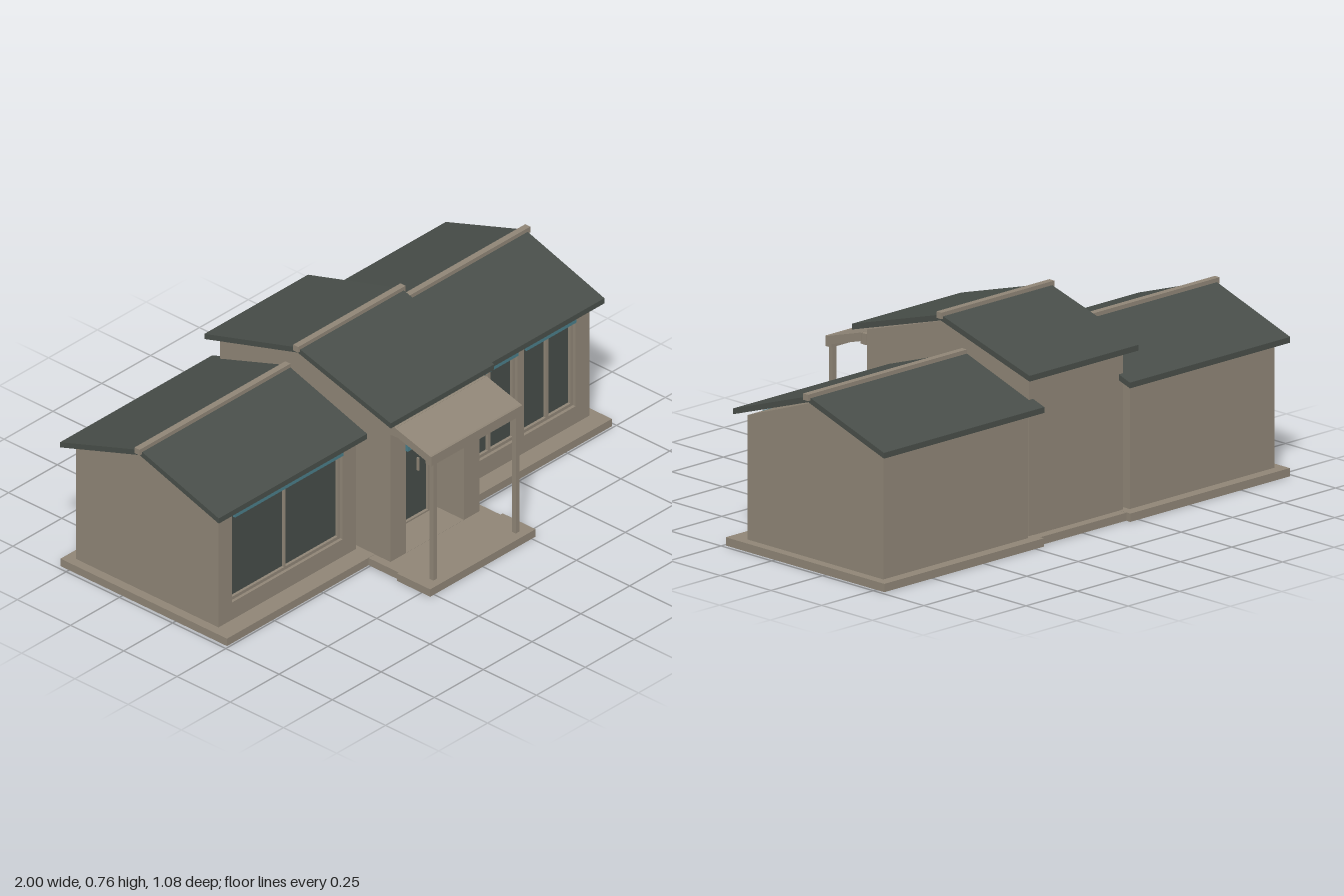
import * as THREE from 'three';

const mat = (name, color, side = THREE.FrontSide) => {
  const m = new THREE.MeshStandardMaterial({ color, side });
  m.name = name;
  return m;
};

export function createModel() {
  const stone = mat('warm stone', 0x8f8576);
  const roofing = mat('dark roofing', 0x484e49);
  const glass = mat('dark glass', 0x454c48);
  const blue = mat('blue awning', 0x4a7d89);

  const model = new THREE.Group();
  model.name = 'house';

  const add = (parent, name, geometry, material) => {
    const mesh = new THREE.Mesh(geometry, material);
    mesh.name = name;
    parent.add(mesh);
    return mesh;
  };
  // Box given by its limits on each axis
  const box = (parent, name, material, [x0, x1], [y0, y1], [z0, z1]) =>
    add(parent, name, new THREE.BoxGeometry(x1 - x0, y1 - y0, z1 - z0)
      .translate((x0 + x1) / 2, (y0 + y1) / 2, (z0 + z1) / 2), material);
  // Side profile of [z, y] points, extruded across x
  const profile = (parent, name, material, points, [x0, x1]) => {
    const shape = new THREE.Shape(points.map(([z, y]) => new THREE.Vector2(z, y)));
    const g = new THREE.ExtrudeGeometry(shape, { depth: x1 - x0, bevelEnabled: false });
    return add(parent, name, g.rotateY(-Math.PI / 2).translate(x1, 0, 0), material);
  };
  // Upright wall with rectangular openings [x0, x1, y0, y1]
  const wallWithOpenings = (parent, name, [x0, x1], [y0, y1], [z0, z1], openings) => {
    const rect = (T, a, b, c, d) => new T([[a, c], [b, c], [b, d], [a, d]]
      .map(([x, y]) => new THREE.Vector2(x, y)));
    const shape = rect(THREE.Shape, x0, x1, y0, y1);
    openings.forEach(o => shape.holes.push(rect(THREE.Path, ...o)));
    const g = new THREE.ExtrudeGeometry(shape, { depth: z1 - z0, bevelEnabled: false });
    return add(parent, name, g.translate(0, 0, z0), stone);
  };
  // Gable, pitched roof and ridge cap
  const pitchedRoof = (parent, o) => {
    profile(parent, 'gable', stone,
      [[o.front, o.wallTop], [o.ridge, o.gableTop], [o.back, o.wallTop]], o.wallX);
    profile(parent, 'roof', roofing, [
      [o.eaveFront, o.eaveTop - 0.021], [o.eaveFront, o.eaveTop], [o.ridge, o.top],
      [o.eaveBack, o.eaveTop], [o.eaveBack, o.eaveTop - 0.021], [o.ridge, o.top - 0.021],
    ], o.roofX);
    box(parent, 'ridgeCap', stone, o.capX, [o.top - 0.012, o.top + 0.011],
      [o.ridge - 0.012, o.ridge + 0.012]);
  };
  const span = (side, a, b) => side > 0 ? [a, b] : [-b, -a];

  // Plinths
  for (const side of [-1, 1])
    box(model, 'wingPlinth', stone, span(side, 0.21, 0.985), [0, 0.03], [-0.54, 0.242]);
  box(model, 'centrePlinth', stone, [-0.26, 0.26], [0, 0.029], [-0.52, 0.39]);
  box(model, 'porchSlab', stone, [-0.27, 0.27], [0, 0.03], [0.385, 0.54]);

  // Two wings with recessed windows [x0, x1]
  const wings = [
    { side: -1, name: 'rightWing', windows: [[-0.88, -0.315]], mullion: 0.006 },
    { side: 1, name: 'leftWing', windows: [[0.318, 0.58], [0.613, 0.877]], mullion: 0.014 },
  ];
  for (const { side, name, windows, mullion } of wings) {
    const wing = new THREE.Group();
    wing.name = name;
    model.add(wing);
    const wallX = span(side, 0.247, 0.95);
    box(wing, 'walls', stone, wallX, [0.03, 0.48], [-0.5, 0.14]);
    wallWithOpenings(wing, 'frontWall', wallX, [0.03, 0.48], [0.14, 0.17],
      windows.map(([a, b]) => [a, b, 0.1, 0.465]));
    for (const [a, b] of windows) {
      const mid = (a + b) / 2;
      box(wing, 'windowGlass', glass, [a, b], [0.1, 0.465], [0.14, 0.147]);
      wallWithOpenings(wing, 'windowFrame', [a, b], [0.1, 0.465], [0.141, 0.158],
        [[a + 0.012, mid - mullion / 2, 0.112, 0.453], [mid + mullion / 2, b - 0.012, 0.112, 0.453]]);
      box(wing, 'awning', blue, [a + 0.006, b - 0.004], [0.445, 0.478], [0.168, 0.178]);
    }
    pitchedRoof(wing, {
      wallX, roofX: span(side, 0.208, 0.987), capX: span(side, 0.2, 1),
      front: 0.17, back: -0.5, wallTop: 0.48, gableTop: 0.6, ridge: -0.167,
      eaveFront: 0.205, eaveBack: -0.54, eaveTop: 0.504, top: 0.628,
    });
  }

  // Taller centre block with a recessed entrance
  const centre = new THREE.Group();
  centre.name = 'centreBlock';
  model.add(centre);
  const centreX = [-0.228, 0.228];
  box(centre, 'walls', stone, centreX, [0.029, 0.605], [-0.485, 0.165]);
  wallWithOpenings(centre, 'entrancePillars', centreX, [0.029, 0.605], [0.165, 0.315],
    [[-0.148, 0.148, 0.0295, 0.47]]);
  pitchedRoof(centre, {
    wallX: centreX, roofX: [-0.267, 0.263], capX: [-0.277, 0.272],
    front: 0.315, back: -0.485, wallTop: 0.605, gableTop: 0.725, ridge: -0.085,
    eaveFront: 0.352, eaveBack: -0.523, eaveTop: 0.625, top: 0.752,
  });

  // Door and its awning
  wallWithOpenings(centre, 'doorFrame', [-0.148, 0.148], [0.0295, 0.47], [0.165, 0.185],
    [[-0.113, 0.107, 0.036, 0.45]]);
  box(centre, 'door', glass, [-0.113, 0.107], [0.036, 0.45], [0.165, 0.174]);
  box(centre, 'doorHandle', stone, [0.058, 0.064], [0.215, 0.265], [0.174, 0.184]);
  box(centre, 'doorAwning', blue, [-0.15, 0.147], [0.445, 0.484], [0.313, 0.325]);

  // Porch canopy on two slim posts
  const porch = new THREE.Group();
  porch.name = 'porch';
  model.add(porch);
  box(porch, 'canopyLedger', stone, [-0.23, 0.23], [0.548, 0.588], [0.314, 0.345]);
  profile(porch, 'canopy', stone,
    [[0.34, 0.558], [0.34, 0.589], [0.505, 0.541], [0.505, 0.51]], [-0.235, 0.232]);
  box(porch, 'canopyBeam', stone, [-0.235, 0.232], [0.503, 0.541], [0.486, 0.514]);
  for (const x of [-0.211, 0.211])
    box(porch, 'post', stone, [x - 0.009, x + 0.009], [0.03, 0.505], [0.491, 0.509]);

  return model;
}
